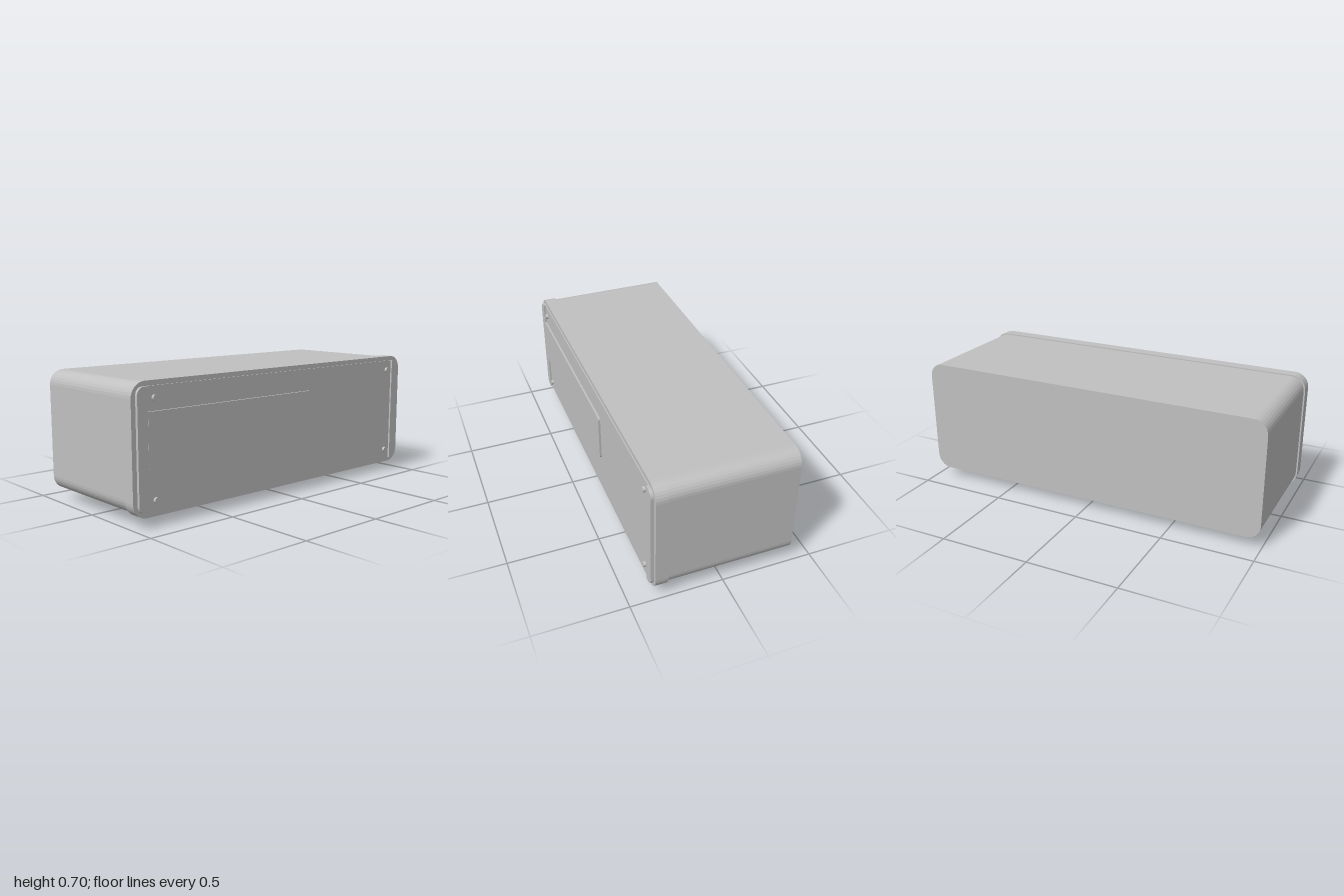
import * as THREE from 'three';

// Rectangle with its own radius at each corner: bottom-left, bottom-right, top-right, top-left
function roundedRect(x0, y0, x1, y1, [bl, br, tr, tl]) {
  const s = new THREE.Shape();
  const corner = (cx, cy, r, start, px, py) => {
    if (r > 0) s.absarc(cx, cy, r, start, start + Math.PI / 2, false);
    else s.lineTo(px, py);
  };
  s.moveTo(x0 + bl, y0);
  corner(x1 - br, y0 + br, br, -Math.PI / 2, x1, y0);
  corner(x1 - tr, y1 - tr, tr, 0, x1, y1);
  corner(x0 + tl, y1 - tl, tl, Math.PI / 2, x0, y1);
  corner(x0 + bl, y0 + bl, bl, Math.PI, x0, y0);
  s.closePath();
  return s;
}

export function createModel() {
  const model = new THREE.Group();
  model.name = 'deviceCase';
  const grey = new THREE.MeshStandardMaterial({ color: 0xc0c0c0 });
  grey.name = 'casing grey';

  const add = (name, geometry) => {
    const mesh = new THREE.Mesh(geometry, grey);
    mesh.name = name;
    model.add(mesh);
    return mesh;
  };
  // Slab from z0 to z1 with faceted rounded corners
  const slab = (name, x0, y0, x1, y1, z0, z1, radii) => {
    const geometry = new THREE.ExtrudeGeometry(roundedRect(x0, y0, x1, y1, radii), {
      depth: z1 - z0, bevelEnabled: false, curveSegments: 4,
    });
    geometry.translate(0, 0, z0);
    return add(name, geometry);
  };
  const all = (r) => [r, r, r, r];

  // Main case and the slightly larger front frame
  slab('body', -0.992, 0.055, 0.992, 0.699, -0.385, 0.3, all(0.077));
  slab('frontFrame', -1, 0.049, 1, 0.705, 0.298, 0.365, all(0.08));

  // Front panel with raised end strips and a raised plate joined to the left-hand strip
  slab('frontPanel', -0.975, 0.074, 0.975, 0.68, 0.36, 0.371, all(0.04));
  slab('endStrip', -0.975, 0.074, -0.915, 0.68, 0.37, 0.381, [0.04, 0, 0, 0.04]);
  slab('endStrip', 0.915, 0.074, 0.975, 0.68, 0.37, 0.381, [0, 0.04, 0.04, 0]);
  slab('raisedPlate', -0.916, 0.286, 0.19, 0.56, 0.37, 0.382, [0, 0.02, 0.02, 0]);

  for (const side of [-1, 1]) {
    // Screws near the panel corners
    for (const y of [0.13, 0.623]) {
      const screw = add('screw', new THREE.CylinderGeometry(0.015, 0.015, 0.016, 16));
      screw.rotation.x = Math.PI / 2;
      screw.position.set(side * 0.872, y, 0.377);
    }
    // Feet with rounded lower edges
    const inner = side * 0.633, outer = side * 0.8;
    slab('foot', Math.min(inner, outer), 0, Math.max(inner, outer), 0.06, -0.165, 0.1, [0.02, 0.02, 0, 0]);
  }

  return model;
}
